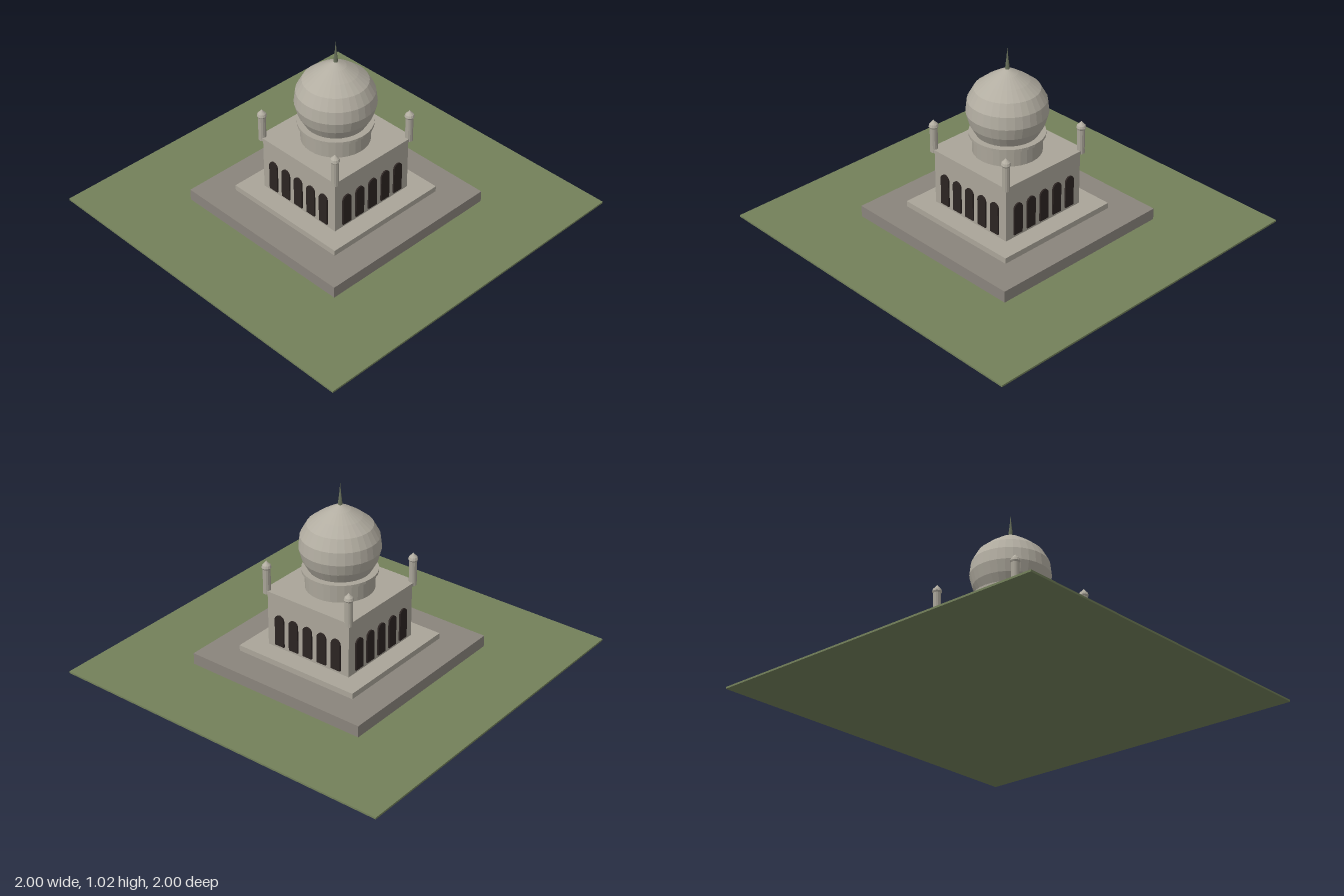
import * as THREE from 'three';

const paint = (name, color) => {
  const m = new THREE.MeshStandardMaterial({ color });
  m.name = name;
  return m;
};

// Give every face its own normal
function faceted(geometry) {
  const g = geometry.index ? geometry.toNonIndexed() : geometry;
  g.computeVertexNormals();
  return g;
}

const lathe = (points, sides) =>
  faceted(new THREE.LatheGeometry(points.map(([r, y]) => new THREE.Vector2(r, y)), sides));

export function createModel() {
  const grass = paint('grass', 0x73805a);
  const paving = paint('paving', 0x8a847c);
  const stone = paint('stone', 0xaaa599);
  const domeStone = paint('domeStone', 0xb2ada1);
  const dark = paint('darkOpening', 0x2c2422);
  const bronze = paint('bronze', 0x68705a);

  const model = new THREE.Group();
  model.name = 'domedPavilion';

  const add = (name, geometry, material, parent = model) => {
    const mesh = new THREE.Mesh(geometry, material);
    mesh.name = name;
    parent.add(mesh);
    return mesh;
  };

  // Square slab from y0 to y1
  const slab = (name, half, y0, y1, material) => {
    add(name, new THREE.BoxGeometry(half * 2, y1 - y0, half * 2), material).position.y = (y0 + y1) / 2;
  };
  slab('lawn', 1, 0, 0.01, grass);
  slab('terrace', 0.543, 0.01, 0.075, paving);
  slab('plinth', 0.373, 0.075, 0.107, stone);
  slab('hall', 0.265, 0.107, 0.415, stone);
  slab('cornice', 0.282, 0.413, 0.433, stone);

  // Five arched openings on each of the four walls
  const arch = new THREE.Shape();
  arch.moveTo(-0.029, 0.125);
  arch.lineTo(0.029, 0.125);
  arch.lineTo(0.029, 0.276);
  arch.absarc(0, 0.276, 0.029, 0, Math.PI, false);
  arch.closePath();
  const archGeometry = new THREE.ExtrudeGeometry(arch, { depth: 0.009, bevelEnabled: false, curveSegments: 5 });
  for (let side = 0; side < 4; side++) {
    const arcade = new THREE.Group();
    arcade.name = 'arcade';
    arcade.rotation.y = side * Math.PI / 2;
    model.add(arcade);
    for (let i = -2; i <= 2; i++) {
      add('archedOpening', archGeometry, dark, arcade).position.set(i * 0.0925, 0, 0.265);
    }
  }

  // Drum with a projecting ring
  add('drum', lathe([[0, 0.43], [0.183, 0.43], [0.183, 0.527], [0, 0.527]], 32), stone);
  add('drumRing', lathe([[0, 0.525], [0.2, 0.525], [0.2, 0.54], [0, 0.54]], 32), stone);

  // Onion dome and its spire
  add('dome', lathe([
    [0.164, 0.538], [0.197, 0.597], [0.214, 0.66], [0.206, 0.728],
    [0.172, 0.79], [0.116, 0.835], [0.055, 0.875], [0, 0.903],
  ], 32), domeStone);
  add('spire', lathe([[0.012, 0.885], [0.01, 0.92], [0.005, 0.96], [0, 1.02]], 8), bronze);

  // Corner turrets with bulbous caps
  const shaft = lathe([[0, 0.413], [0.021, 0.413], [0.021, 0.553], [0, 0.553]], 12);
  const cap = lathe([[0.018, 0.548], [0.026, 0.562], [0.022, 0.576], [0.01, 0.588], [0, 0.6]], 12);
  for (const x of [-0.267, 0.267]) {
    for (const z of [-0.267, 0.267]) {
      const turret = new THREE.Group();
      turret.name = 'cornerTurret';
      turret.position.set(x, 0, z);
      model.add(turret);
      add('turretShaft', shaft, stone, turret);
      add('turretCap', cap, domeStone, turret);
    }
  }

  return model;
}
